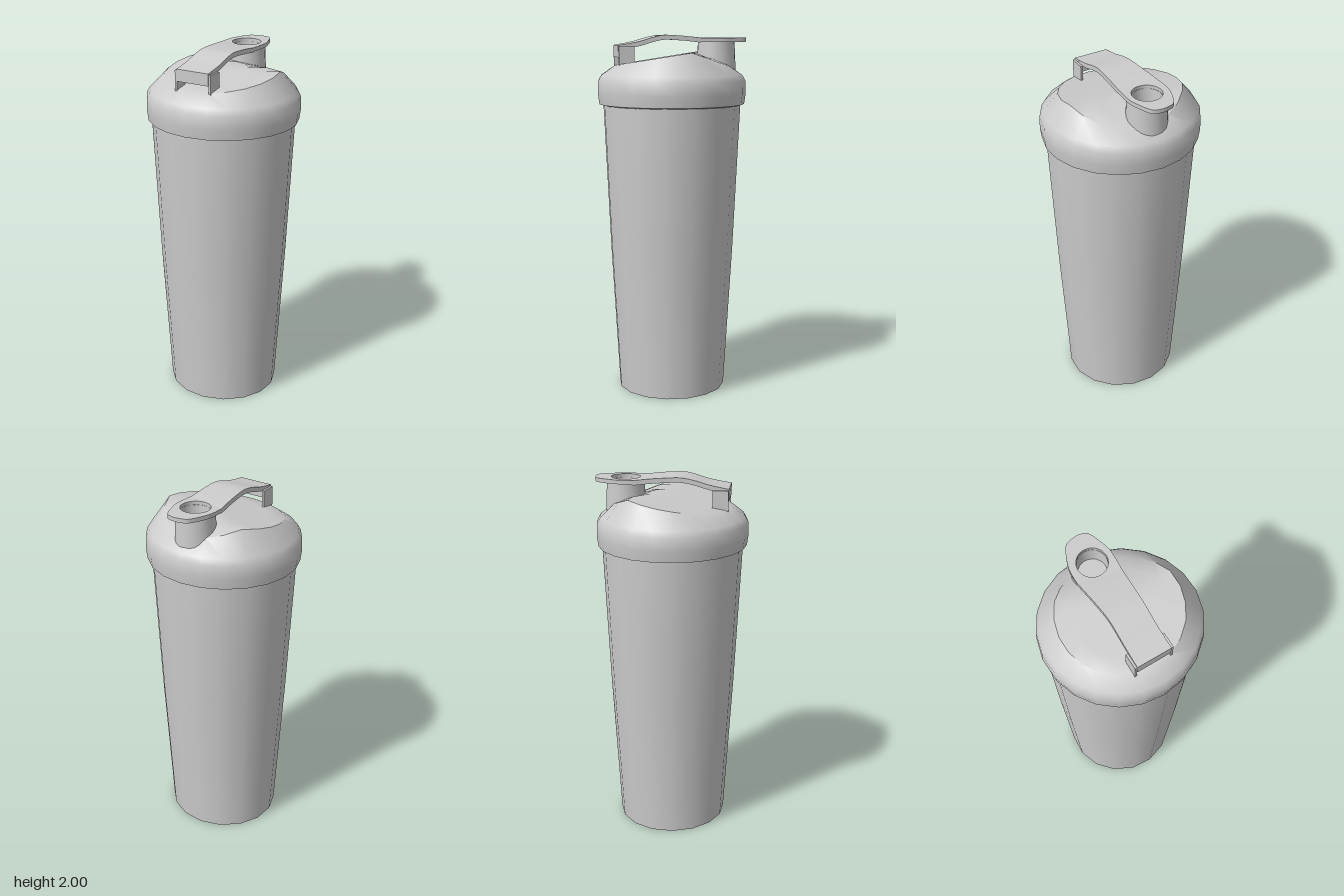
import * as THREE from 'three';
import { toCreasedNormals } from 'three/addons/utils/BufferGeometryUtils.js';

const material = new THREE.MeshStandardMaterial({ color: 0xcccccc });
const v2 = (list) => list.map(([x, y]) => new THREE.Vector2(x, y));

function add(parent, name, geometry, crease = 0.7) {
  const mesh = new THREE.Mesh(toCreasedNormals(geometry, crease), material);
  mesh.name = name;
  parent.add(mesh);
  return mesh;
}

// Moves every vertex of a geometry by a rule
function warp(geometry, rule) {
  const p = geometry.attributes.position;
  const v = new THREE.Vector3();
  for (let i = 0; i < p.count; i++) {
    rule(v.fromBufferAttribute(p, i));
    p.setXYZ(i, v.x, v.y, v.z);
  }
  return geometry;
}

// Lid top: slopes up from the front, then falls away behind the spout
const lidTop = (z) => Math.min(1.885 - 0.16 * z, 1.82 + (z + 0.35) * 0.41);

export function createModel() {
  const model = new THREE.Group();
  model.name = 'shakerBottle';

  // Tapered cup with a flat base
  const cup = new THREE.LatheGeometry(
    v2([[0, 0], [0.315, 0], [0.362, 0.8], [0.4, 1.61], [0.4, 1.66]]), 16);
  cup.scale(1, 1, 0.96);
  add(model, 'cup', cup);

  // Lid: rounded skirt, shoulder and slanted top
  const lid = new THREE.LatheGeometry(v2([
    [0.39, 1.615], [0.418, 1.622], [0.426, 1.68], [0.424, 1.75], [0.405, 1.782],
    [0.325, 2], [0.24, 2], [0.12, 2], [0, 2],
  ]), 22);
  warp(lid, (v) => {
    v.z *= 0.97;
    if (v.y > 1.9) v.y = lidTop(v.z);
  });
  add(model, 'lid', lid, 0.6);

  // Hollow drinking spout
  const spout = new THREE.LatheGeometry(v2([
    [0.11, 1.8], [0.102, 1.965], [0.078, 1.965], [0.074, 1.875], [0, 1.875],
  ]), 24);
  add(model, 'spout', spout.translate(-0.07, 0, -0.245));

  // Strap head: flat rounded plate with a round hole above the spout
  const head = new THREE.Shape();
  head.moveTo(0.06, 0.165);
  head.splineThru(v2([[0.035, 0.28], [0, 0.345], [-0.045, 0.403], [-0.09, 0.41],
    [-0.135, 0.395], [-0.172, 0.36], [-0.188, 0.25], [-0.17, 0.16]]));
  head.closePath();
  const hole = new THREE.Path();
  hole.absarc(-0.07, 0.245, 0.079, 0, Math.PI * 2, true);
  head.holes.push(hole);
  const plate = new THREE.ExtrudeGeometry(head, { depth: 0.022, bevelEnabled: false, curveSegments: 24 });
  plate.rotateX(-Math.PI / 2).translate(0, 1.962, 0);
  add(model, 'strapHead', plate);

  // Strap: arched band running diagonally to the hinge
  const left = new THREE.SplineCurve(v2([[-0.17, -0.16], [-0.09, 0.04], [-0.05, 0.18], [-0.01, 0.325]]));
  const right = new THREE.SplineCurve(v2([[0.06, -0.165], [0.1, 0], [0.13, 0.12], [0.175, 0.275]]));
  const arch = new THREE.SplineCurve(v2([[0, 1.984], [0.2, 1.995], [0.36, 2], [0.6, 1.986], [0.82, 1.96], [1, 1.945]]));
  const band = warp(new THREE.BoxGeometry(1, 1, 1, 2, 1, 16), (v) => {
    const t = v.z + 0.5;
    const side = v.x + 0.5;
    const p = left.getPoint(t).lerp(right.getPoint(t), side);
    const y = arch.getPoint(t).y + (v.y - 0.5) * 0.026;
    v.set(p.x, y, p.y);
  });
  add(model, 'strap', band);

  // Hinge: front lip of the strap held between two thin lugs
  const hinge = new THREE.Group();
  hinge.name = 'hinge';
  hinge.position.set(0.083, 0, 0.3);
  hinge.rotation.y = 0.27;
  model.add(hinge);
  const lip = new THREE.BoxGeometry(0.19, 0.065, 0.045);
  add(hinge, 'strapLip', lip.translate(0, 1.912, -0.023));
  for (const s of [-1, 1]) {
    const lug = new THREE.BoxGeometry(0.012, 0.12, 0.085);
    add(hinge, s > 0 ? 'leftLug' : 'rightLug', lug.translate(s * 0.102, 1.878, -0.045));
  }
  return model;
}
